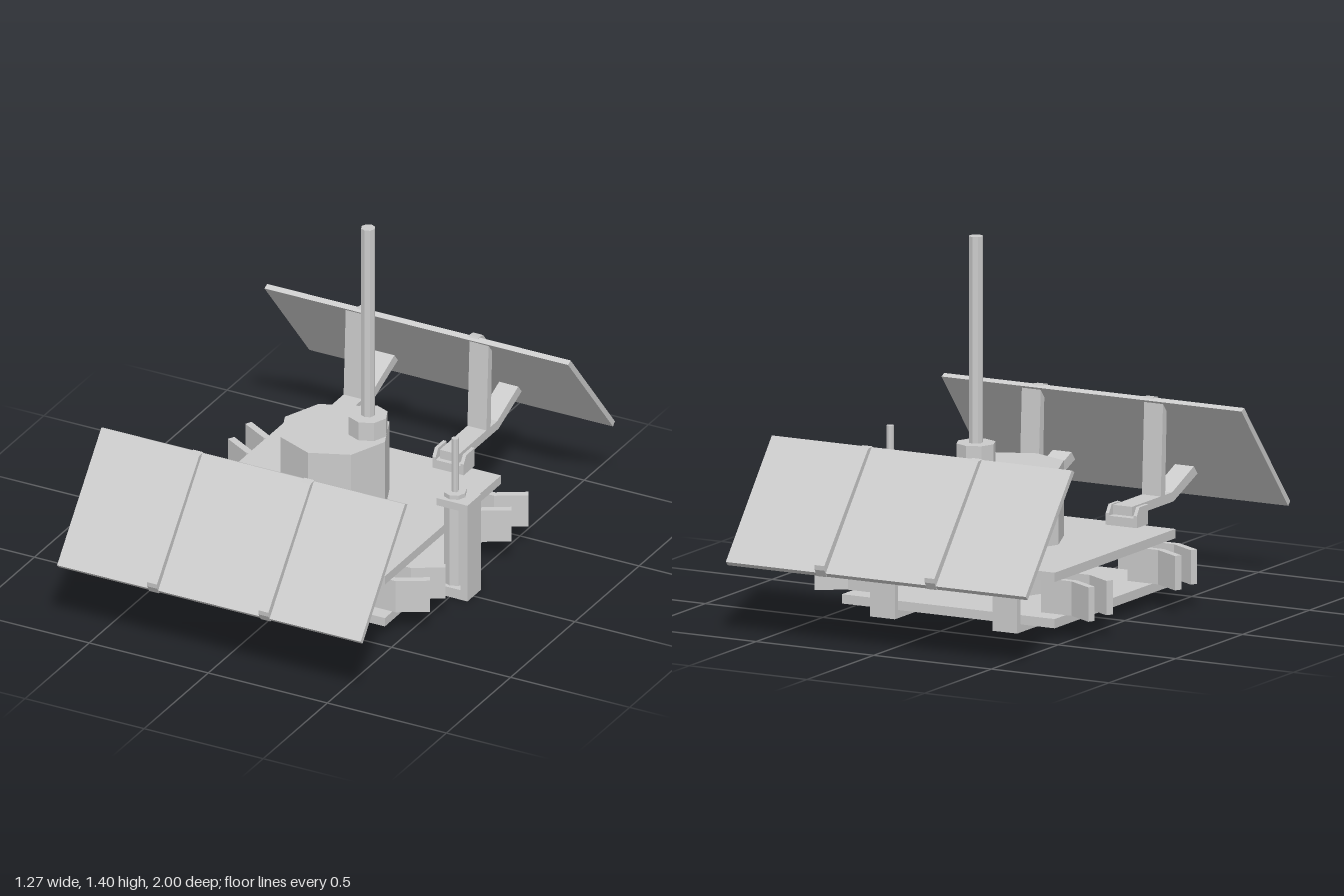
import * as THREE from 'three';

const material = new THREE.MeshStandardMaterial({ color: 0xcccccc, flatShading: true });

function add(parent, name, geometry) {
  const mesh = new THREE.Mesh(geometry, material);
  mesh.name = name;
  parent.add(mesh);
  return mesh;
}

// Box given by its minimum and maximum corners
function box(parent, name, [x0, y0, z0], [x1, y1, z1]) {
  const g = new THREE.BoxGeometry(x1 - x0, y1 - y0, z1 - z0);
  return add(parent, name, g.translate((x0 + x1) / 2, (y0 + y1) / 2, (z0 + z1) / 2));
}

// Upright prism or cylinder between two heights
function post(parent, name, x, z, radius, y0, y1, sides = 8) {
  const g = new THREE.CylinderGeometry(radius, radius, y1 - y0, sides);
  return add(parent, name, g.translate(x, (y0 + y1) / 2, z));
}

function extrude(points, depth) {
  const shape = new THREE.Shape(points.map(([a, b]) => new THREE.Vector2(a, b)));
  return new THREE.ExtrudeGeometry(shape, { depth, bevelEnabled: false });
}

// Side profile of [z, y] points, extruded along x around a centre
function profile(parent, name, points, x, width) {
  const g = extrude(points, width).rotateY(-Math.PI / 2);
  return add(parent, name, g.translate(x + width / 2, 0, 0));
}

// One tilted panel with its two supports, facing +z
function panelAssembly() {
  const group = new THREE.Group();
  group.name = 'panelAssembly';
  profile(group, 'panel', [[0.625, 0.69], [0.645, 0.70], [0.99, 0.285], [0.975, 0.27]], 0, 1.275);

  for (const side of [-1, 1]) {
    const x = side * 0.26;
    const ribX = side * 0.234;
    // Strip over the panel face, folded around both ends
    profile(group, 'panelRib', [[0.632, 0.688], [0.64, 0.702], [0.672, 0.698], [1, 0.315],
      [0.998, 0.297], [0.982, 0.27]], ribX, 0.042);
    // C-shaped clamp gripping the two decks
    box(group, 'clampLeg', [x - 0.053, 0.02, 0.458], [x + 0.053, 0.262, 0.482]);
    box(group, 'clampFoot', [x - 0.053, 0.02, 0.32], [x + 0.053, 0.051, 0.482]);
    box(group, 'clampTop', [x - 0.053, 0.259, 0.39], [x + 0.053, 0.295, 0.482]);
    for (const s of [-1, 1]) {
      profile(group, 'clampCheek', [[0.39, 0.26], [0.39, 0.305], [0.41, 0.335], [0.475, 0.335],
        [0.475, 0.26]], x + s * 0.059, 0.014);
    }
    // Bent arm to the lower panel and strut to the upper panel
    profile(group, 'supportArm', [[0.4, 0.3], [0.4, 0.336], [0.70, 0.336], [0.875, 0.41],
      [0.905, 0.378], [0.71, 0.3]], x, 0.08);
    profile(group, 'supportStrut', [[0.615, 0.33], [0.648, 0.33], [0.66, 0.67], [0.632, 0.688]], x, 0.08);
  }
  return group;
}

export function createModel() {
  const model = new THREE.Group();
  model.name = 'platformWithPanels';

  // Two square decks
  for (const y of [0.05, 0.225]) {
    box(model, 'deck', [-0.46, y, -0.455], [0.445, y + 0.035, 0.45]);
  }

  // Central drum and mast
  post(model, 'drum', -0.013, -0.01, 0.21, 0.08, 0.545);
  post(model, 'mastBase', 0.105, -0.05, 0.075, 0.545, 0.62);
  post(model, 'mast', 0.105, -0.05, 0.027, 0.61, 1.4);

  // Bent vanes between the decks, all sweeping toward the back
  for (const z of [-0.38, -0.245, 0.268, 0.387]) {
    for (const side of [-1, 1]) {
      const path = [[0.345, 0.012], [0.485, 0.012], [0.595, -0.052], [0.582, -0.077],
        [0.475, -0.014], [0.345, -0.014]];
      const g = extrude(path.map(([x, dz]) => [side * x - 0.022, -(z + dz)]), 0.13);
      add(model, 'vane', g.rotateX(-Math.PI / 2).translate(0, 0.09, 0));
    }
  }

  // Front and back panels
  for (const turn of [0, Math.PI]) {
    const panel = panelAssembly();
    panel.rotation.y = turn;
    panel.position.x = -0.003;
    model.add(panel);
  }

  // Side bracket with its small aerial
  const aerial = new THREE.Group();
  aerial.name = 'sideAerial';
  model.add(aerial);
  box(aerial, 'bracketWall', [0.545, 0, -0.057], [0.575, 0.4, 0.048]);
  box(aerial, 'bracketFoot', [0.41, 0, -0.057], [0.55, 0.04, 0.048]);
  box(aerial, 'bracketTop', [0.445, 0.37, -0.057], [0.55, 0.4, 0.048]);
  post(aerial, 'aerialBody', 0.493, -0.008, 0.043, 0.04, 0.37);
  post(aerial, 'aerialNut', 0.493, -0.008, 0.043, 0.4, 0.417);
  post(aerial, 'aerialRod', 0.493, -0.008, 0.014, 0.41, 0.637);

  return model;
}
